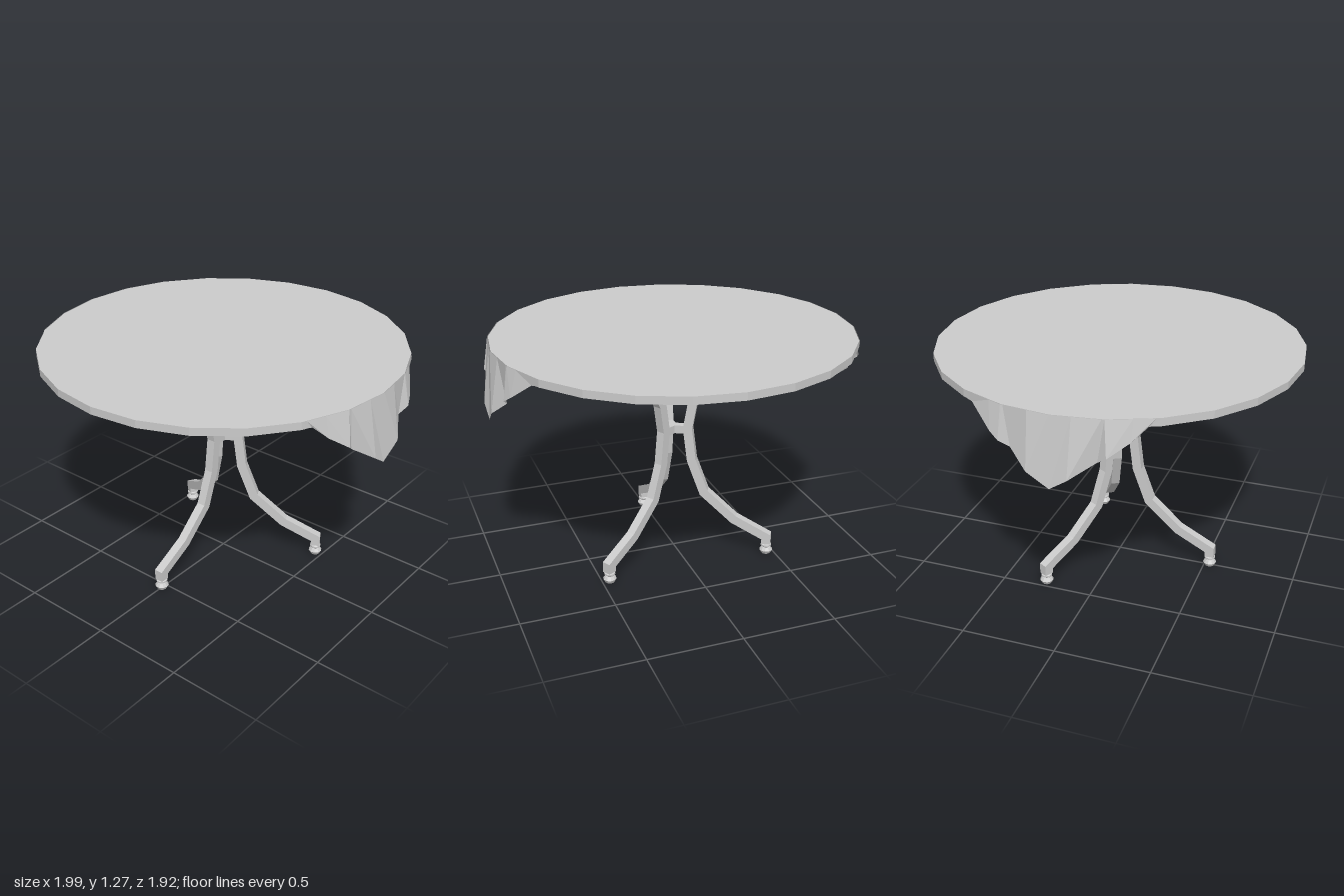
import * as THREE from 'three';

const R = 0.96, TOP = 1.27, UNDER = 1.23;
const grey = new THREE.MeshStandardMaterial({ color: 0xcccccc, flatShading: true });
const clothMaterial = new THREE.MeshStandardMaterial({ color: 0xcccccc, flatShading: true, side: THREE.DoubleSide });

function add(parent, name, geometry, x = 0, y = 0, z = 0) {
  const mesh = new THREE.Mesh(geometry, grey);
  mesh.name = name;
  mesh.position.set(x, y, z);
  parent.add(mesh);
  return mesh;
}

// Flat bar of constant thickness following a centre line, with mitred bends
function bentBar(points, thickness, width) {
  const p = points.map(([x, y]) => new THREE.Vector2(x, y));
  const normal = (a, b) => new THREE.Vector2(a.y - b.y, b.x - a.x).normalize();
  const left = [], right = [];
  p.forEach((q, i) => {
    const n1 = normal(p[Math.max(i - 1, 0)], p[Math.max(i, 1)]);
    const last = p.length - 1;
    const n2 = normal(p[Math.min(i, last - 1)], p[Math.min(i + 1, last)]);
    const m = n1.clone().add(n2).normalize();
    m.multiplyScalar(thickness / 2 / m.dot(n1));
    left.push(q.clone().add(m));
    right.unshift(q.clone().sub(m));
  });
  const geometry = new THREE.ExtrudeGeometry(new THREE.Shape([...left, ...right]), { depth: width, bevelEnabled: false });
  return geometry.translate(0, 0, -width / 2);
}

// Leg outline as [distance from the axis, height]
const legLine = [
  [0.53, 0.06], [0.53, 0.104], [0.345, 0.2], [0.175, 0.353], [0.105, 0.543],
  [0.082, 0.73], [0.11, 0.89], [0.195, 1.045], [0.318, 1.18], [0.318, 1.22],
];
const glideProfile = [
  [0, 0], [0.026, 0], [0.037, 0.02], [0.026, 0.036], [0.02, 0.038],
  [0.03, 0.046], [0.03, 0.055], [0.018, 0.062], [0, 0.062],
].map(([r, y]) => new THREE.Vector2(r, y));

function makeLeg() {
  const leg = new THREE.Group();
  leg.name = 'leg';
  add(leg, 'legBar', bentBar(legLine, 0.05, 0.048));
  add(leg, 'mountingPlate', new THREE.BoxGeometry(0.07, 0.016, 0.07), 0.318, 1.222, 0);
  add(leg, 'footGlide', new THREE.LatheGeometry(glideProfile, 10), 0.53, 0, 0);
  add(leg, 'braceSpoke', new THREE.BoxGeometry(0.08, 0.046, 0.04), 0.04, 0.722, 0);
  return leg;
}

// Draped cloth edge: [rim position in 15 degree steps, hem x, hem y, hem z]
const hem = [
  [-2, 0.835, 1.235, -0.48], [-1.9, 0.855, 1.225, -0.43], [-1.3, 0.935, 1.13, -0.31],
  [-1, 0.958, 1.1, -0.26], [-0.95, 0.935, 1.065, -0.21], [-0.45, 0.997, 0.985, -0.11],
  [0, 0.99, 0.91, 0], [0.4, 0.997, 0.97, 0.09], [0.95, 0.935, 1.055, 0.215],
  [1, 0.958, 1.09, 0.265], [1.5, 0.9, 1.16, 0.36], [1.9, 0.855, 1.23, 0.43], [2, 0.835, 1.235, 0.48],
];

function rimPoint(t) {
  const k = Math.floor(t), f = t - k;
  const at = (i) => new THREE.Vector2(Math.cos(i * Math.PI / 12), Math.sin(i * Math.PI / 12)).multiplyScalar(R + 0.004);
  return at(k).lerp(at(k + 1), f);
}

function drape(side) {
  const positions = [], index = [];
  hem.forEach(([t, x, y, z], i) => {
    const rim = rimPoint(t);
    positions.push(side * rim.x, TOP, rim.y, side * x, y, z);
    if (i === 0) return;
    const a = 2 * i - 2;
    const faces = [a, a + 2, a + 1, a + 1, a + 2, a + 3];
    index.push(...(side > 0 ? faces : faces.reverse()));
  });
  const geometry = new THREE.BufferGeometry();
  geometry.setAttribute('position', new THREE.Float32BufferAttribute(positions, 3));
  geometry.setIndex(index);
  geometry.computeVertexNormals();
  return geometry;
}

export function createModel() {
  const table = new THREE.Group();
  table.name = 'table';

  // Round top with 24 sides
  add(table, 'tableTop', new THREE.CylinderGeometry(R, R, TOP - UNDER, 24), 0, (TOP + UNDER) / 2, 0);

  // Cloth hanging over both sides
  for (const side of [1, -1]) {
    const cloth = add(table, side > 0 ? 'leftClothDrape' : 'rightClothDrape', drape(side));
    cloth.material = clothMaterial;
  }

  // One leg in front, two behind
  for (let i = 0; i < 3; i++) {
    const leg = makeLeg();
    leg.rotation.y = -Math.PI / 2 + i * Math.PI * 2 / 3;
    table.add(leg);
  }
  return table;
}
